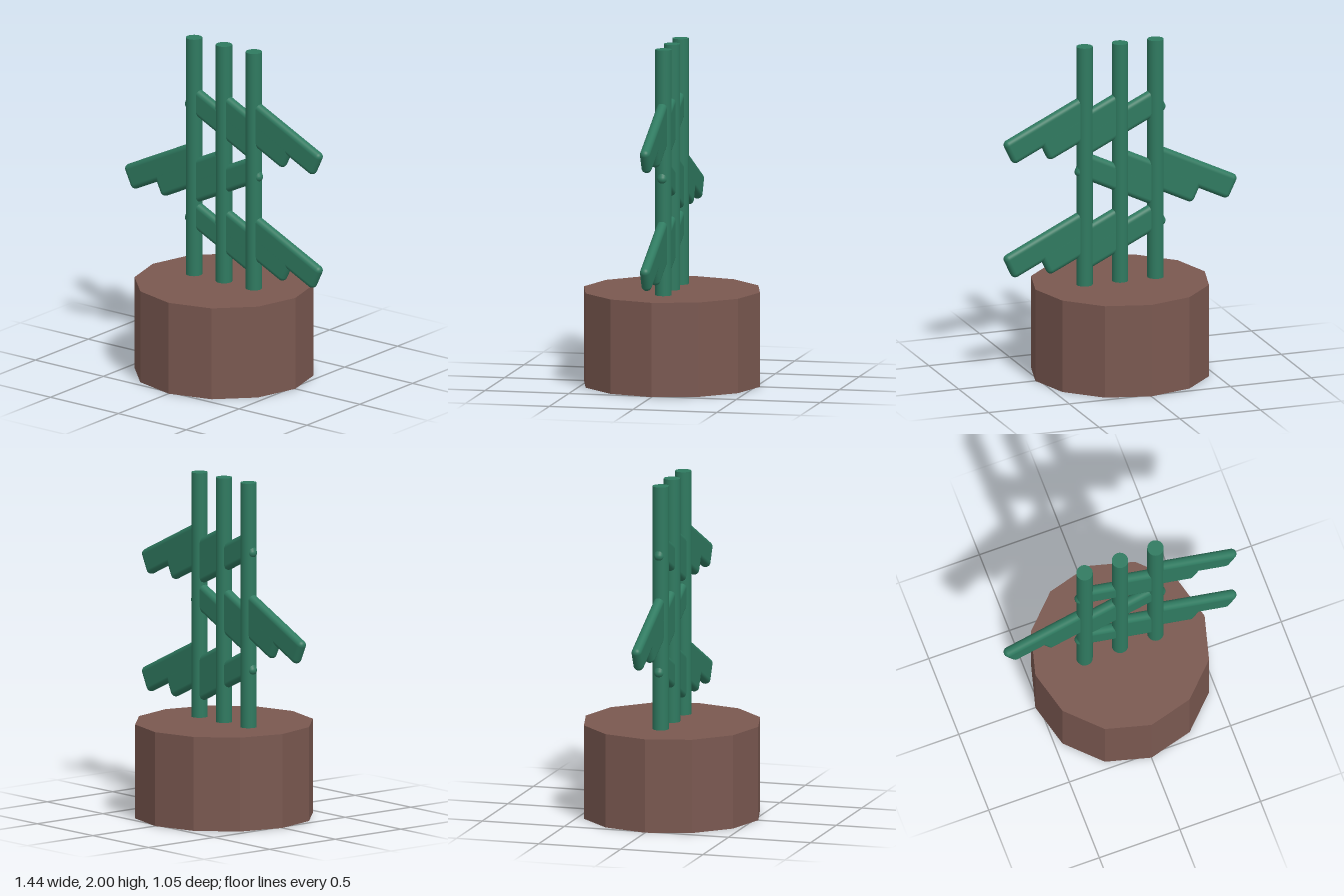
import * as THREE from 'three';
import { RoundedBoxGeometry } from 'three/addons/geometries/RoundedBoxGeometry.js';

const POT_HEIGHT = 0.555;
const STEM_SPACING = 0.22;
const LEAF_TILT = 0.447;

export function createModel() {
  const model = new THREE.Group();
  const green = new THREE.MeshStandardMaterial({ color: 0x2f7a60 });
  const brown = new THREE.MeshStandardMaterial({ color: 0x7a5850, flatShading: true });

  const add = (name, geometry, material, x, y) => {
    const mesh = new THREE.Mesh(geometry, material);
    mesh.name = name;
    mesh.position.set(x, y, 0);
    model.add(mesh);
    return mesh;
  };

  // Twelve-sided pot
  add('pot', new THREE.CylinderGeometry(0.525, 0.525, POT_HEIGHT, 12), brown, 0, POT_HEIGHT / 2);

  // Three upright stems, sunk slightly into the pot
  const bottom = POT_HEIGHT - 0.02;
  const stem = new THREE.CylinderGeometry(0.048, 0.048, 2 - bottom, 20);
  for (const i of [-1, 0, 1]) add('stem', stem, green, i * STEM_SPACING, (2 + bottom) / 2);

  // Drooping leaves: one per stem on each tier, alternating sides
  const leaf = new RoundedBoxGeometry(0.57, 0.152, 0.06, 4, 0.0295);
  const tiers = [[0.826, 1], [1.173, -1], [1.52, 1]];
  for (const [y, side] of tiers) {
    for (const i of [-1, 0, 1]) {
      const mesh = add('leaf', leaf, green, side * (i + 1) * STEM_SPACING, y);
      mesh.rotation.z = -side * LEAF_TILT;
    }
  }
  return model;
}
